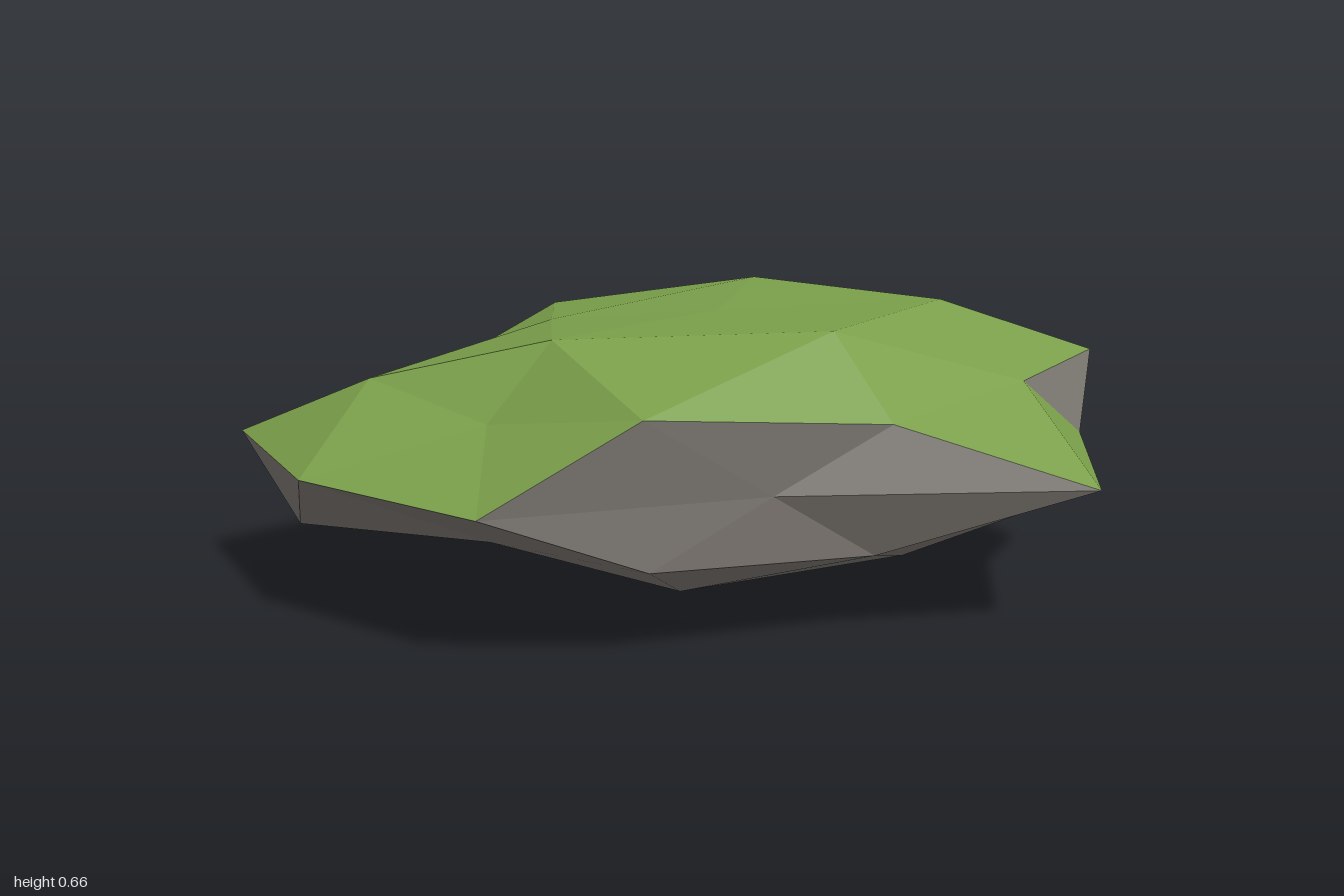
import * as THREE from 'three';

// Low-poly boulder: a once-subdivided icosahedron, flattened, with each vertex pushed in or out.
const SIZE = [1, 0.338, 0.66];
const CENTRE = [0.08, 0.36, -0.01];

// Point on the sphere at a height and angle, moved along its radius
function point(height, degrees, push) {
  const a = THREE.MathUtils.degToRad(degrees);
  const r = Math.sqrt(1 - height * height);
  return new THREE.Vector3(
    r * Math.cos(a) * SIZE[0] * push, height * SIZE[1] * push, r * Math.sin(a) * SIZE[2] * push);
}

// One half: pole, inner ring of 5, outer ring of 10 (corners alternate with edge midpoints)
function cap(sign, first, pole, inner, outer) {
  return {
    first,
    pole: point(sign, 0, pole),
    inner: inner.map((p, i) => point(sign * 0.851, 36 * first + 72 * i, p)),
    outer: outer.map((p, k) => point(sign * (k % 2 === first ? 0.447 : 0.526), 36 * k, p)),
  };
}

export function createModel() {
  const top = cap(1, 0, 0.85,
    [1.01, 1.05, 0.96, 0.85, 1.03],
    [1.022, 0.905, 0.915, 1.06, 0.77, 0.928, 0.82, 1.125, 1.045, 0.9]);
  const bottom = cap(-1, 1, 1.065,
    [0.93, 0.94, 0.76, 0.8, 0.92],
    [1.005, 0.9, 0.89, 0.945, 0.81, 1.07, 0.9, 0.85, 1.02, 0.91]);
  const rim = [0.862, 1.148, 0.783, 1.038, 1.0, 1.138, 0.965, 0.69, 1.03, 0.868]
    .map((p, k) => point(0, 18 + 36 * k, p));

  // Sort triangles into upward (moss) and other (rock) faces
  const moss = [], rock = [];
  const face = (a, b, c) => {
    const n = b.clone().sub(a).cross(c.clone().sub(a)).normalize();
    if (n.dot(a.clone().add(b).add(c)) < 0) {
      [b, c] = [c, b];
      n.negate();
    }
    const list = n.y > 0.45 ? moss : rock;
    for (const v of [a, b, c]) list.push(v.x, v.y, v.z);
  };

  for (const { first, pole, inner, outer } of [top, bottom]) {
    for (let i = 0; i < 5; i++) {
      const j = (i + 1) % 5, k = 2 * i + first;
      const mid = outer[(k + 1) % 10];
      face(pole, inner[i], inner[j]);
      face(inner[i], outer[k], mid);
      face(inner[i], mid, inner[j]);
      face(inner[j], mid, outer[(k + 2) % 10]);
    }
    for (let k = 0; k < 10; k++) {
      const n = (k + 1) % 10;
      face(outer[k], outer[n], rim[k]);
      face(outer[n], rim[k], rim[n]);
    }
  }

  const mossGreen = new THREE.MeshStandardMaterial({ color: 0x7a9f4a });
  mossGreen.name = 'mossGreen';
  const stoneGrey = new THREE.MeshStandardMaterial({ color: 0x7d7872 });
  stoneGrey.name = 'stoneGrey';

  const group = new THREE.Group();
  group.name = 'mossyRock';
  for (const [name, list, material] of [['mossTop', moss, mossGreen], ['rockBody', rock, stoneGrey]]) {
    const geometry = new THREE.BufferGeometry();
    geometry.setAttribute('position', new THREE.Float32BufferAttribute(list, 3));
    geometry.translate(...CENTRE);
    geometry.computeVertexNormals(); // unshared corners keep every facet flat
    const mesh = new THREE.Mesh(geometry, material);
    mesh.name = name;
    group.add(mesh);
  }
  return group;
}
